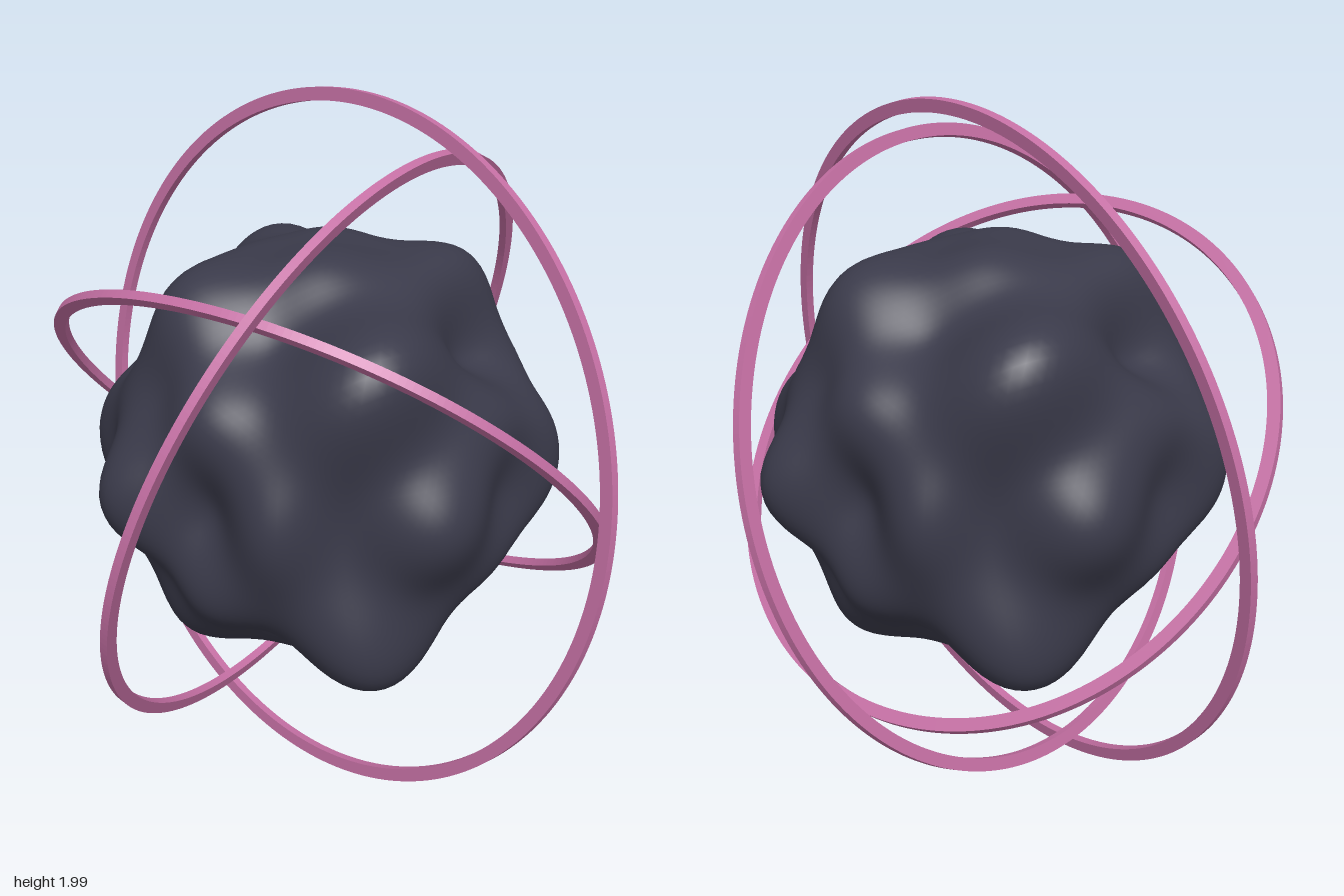
import * as THREE from 'three';
import { mergeVertices } from 'three/addons/utils/BufferGeometryUtils.js';

const CENTRE_Y = 0.993;

// Lumpy core: a fine icosphere pushed in and out by a product of waves
function coreGeometry() {
  let geo = new THREE.IcosahedronGeometry(1, 28);
  geo.deleteAttribute('normal');
  geo.deleteAttribute('uv');
  geo = mergeVertices(geo, 1e-4);
  const pos = geo.attributes.position;
  const v = new THREE.Vector3();
  for (let i = 0; i < pos.count; i++) {
    v.fromBufferAttribute(pos, i).normalize();
    const wave = Math.sin(7 * v.x) * Math.cos(5 * v.y) * Math.sin(4 * v.z);
    v.multiplyScalar(0.61 + 0.128 * wave);
    pos.setXYZ(i, v.x, v.y, v.z);
  }
  geo.computeVertexNormals();
  return geo;
}

// Flat hoop with a rectangular section, lying in the XY plane
function hoopGeometry(outer, width = 0.036, depth = 0.024) {
  const shape = new THREE.Shape().absarc(0, 0, outer, 0, Math.PI * 2, false);
  shape.holes.push(new THREE.Path().absarc(0, 0, outer - width, 0, Math.PI * 2, true));
  const geo = new THREE.ExtrudeGeometry(shape, { depth, bevelEnabled: false, curveSegments: 128 });
  return geo.translate(0, 0, -depth / 2);
}

export function createModel() {
  const group = new THREE.Group();
  const darkSlate = new THREE.MeshStandardMaterial({ color: 0x3a3a4a });
  darkSlate.name = 'darkSlate';
  const pink = new THREE.MeshStandardMaterial({ color: 0xc46fa3 });
  pink.name = 'pink';

  const core = new THREE.Mesh(coreGeometry(), darkSlate);
  core.name = 'core';
  core.position.y = CENTRE_Y;
  group.add(core);

  // Three hoops, each given by outer radius and the axis it turns around
  const hoops = [
    ['outerRing', 1.0, [0, 0.13, 0.99]],
    ['middleRing', 0.924, [0.923, -0.324, -0.207]],
    ['innerRing', 0.846, [0.17, -0.7, 0.695]],
  ];
  const forward = new THREE.Vector3(0, 0, 1);
  for (const [name, radius, axis] of hoops) {
    const hoop = new THREE.Mesh(hoopGeometry(radius), pink);
    hoop.name = name;
    hoop.quaternion.setFromUnitVectors(forward, new THREE.Vector3(...axis).normalize());
    hoop.position.y = CENTRE_Y;
    group.add(hoop);
  }
  return group;
}
